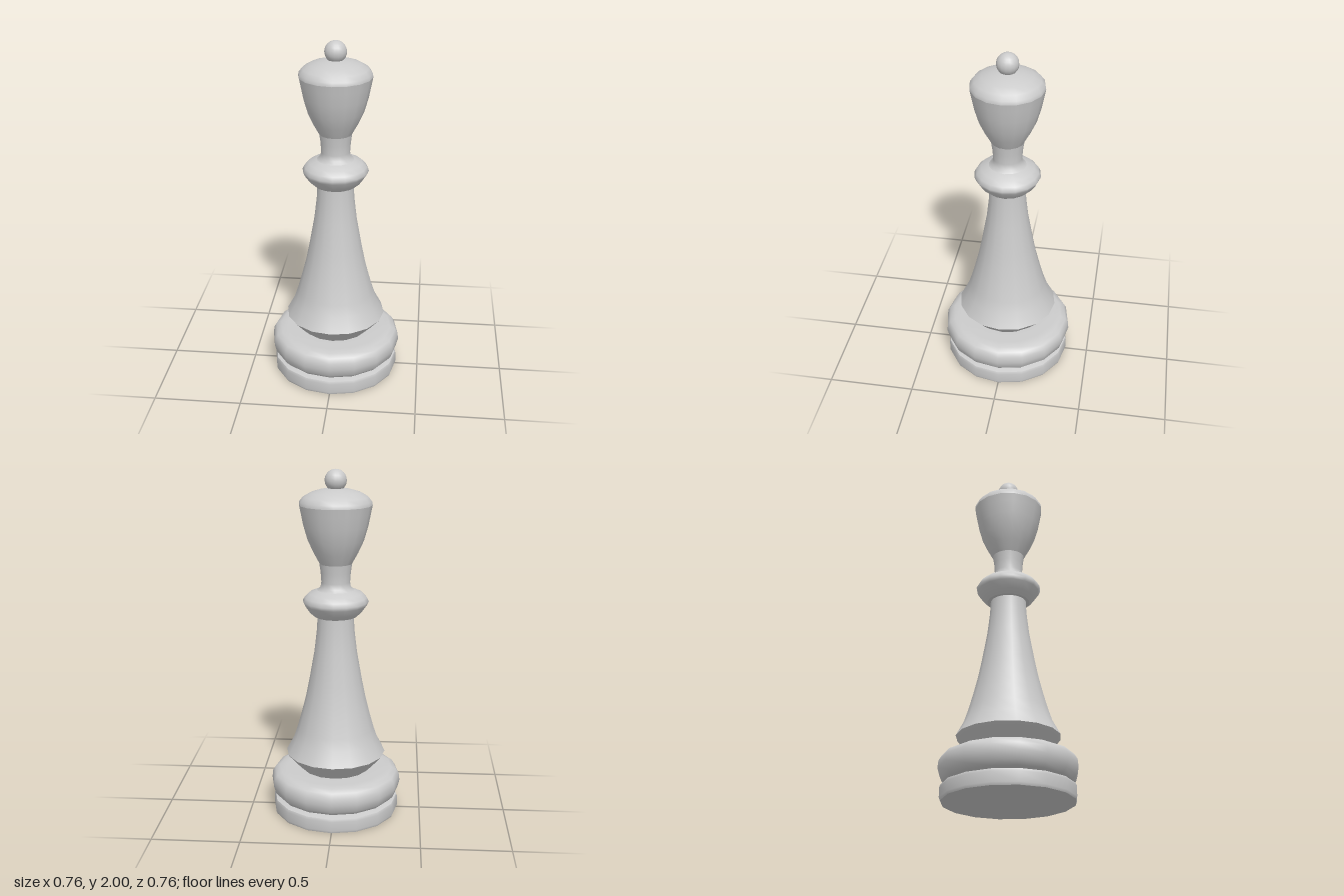
import * as THREE from 'three';

const SIDES = 16;

export function createModel() {
  const group = new THREE.Group();
  const material = new THREE.MeshStandardMaterial({ color: 0xcccccc });

  function add(name, geometry) {
    const mesh = new THREE.Mesh(geometry, material);
    mesh.name = name;
    group.add(mesh);
    return mesh;
  }

  // Each section is smooth within itself; the joints between sections stay sharp.
  function turned(name, ...profile) {
    const points = profile.map(([r, y]) => new THREE.Vector2(r, y));
    return add(name, new THREE.LatheGeometry(points, SIDES));
  }

  // Foot
  turned('footUnderside', [0, 0], [0.362, 0]);
  turned('footDisc', [0.362, 0], [0.368, 0.015], [0.368, 0.07], [0.362, 0.085]);
  turned('footTop', [0.362, 0.085], [0.315, 0.097]);
  turned('footRing', [0.315, 0.097], [0.345, 0.105], [0.368, 0.13], [0.38, 0.175],
    [0.376, 0.215], [0.36, 0.242], [0.33, 0.257], [0.29, 0.262], [0.2, 0.262]);

  // Flared skirt and tapering stem
  turned('skirt', [0.2, 0.262], [0.235, 0.298], [0.288, 0.36]);
  turned('stem', [0.288, 0.36], [0.245, 0.44], [0.222, 0.51], [0.197, 0.6], [0.172, 0.7],
    [0.152, 0.8], [0.122, 0.97], [0.107, 1.1], [0.103, 1.18]);

  // Collar and neck
  turned('collarUnderside', [0.1, 1.18], [0.122, 1.18]);
  turned('collar', [0.122, 1.18], [0.15, 1.205], [0.178, 1.245], [0.187, 1.265],
    [0.175, 1.288], [0.15, 1.312], [0.105, 1.33]);
  turned('neck', [0.105, 1.33], [0.086, 1.345], [0.081, 1.375], [0.085, 1.43], [0.092, 1.48]);

  // Head, domed crown and finial
  turned('head', [0.092, 1.48], [0.125, 1.54], [0.157, 1.61], [0.18, 1.69],
    [0.194, 1.76], [0.203, 1.805]);
  turned('crown', [0.203, 1.805], [0.2, 1.825], [0.18, 1.85], [0.14, 1.873],
    [0.09, 1.888], [0.04, 1.897], [0, 1.898]);
  add('finial', new THREE.SphereGeometry(0.061, SIDES, 12)).position.y = 1.939;

  return group;
}
